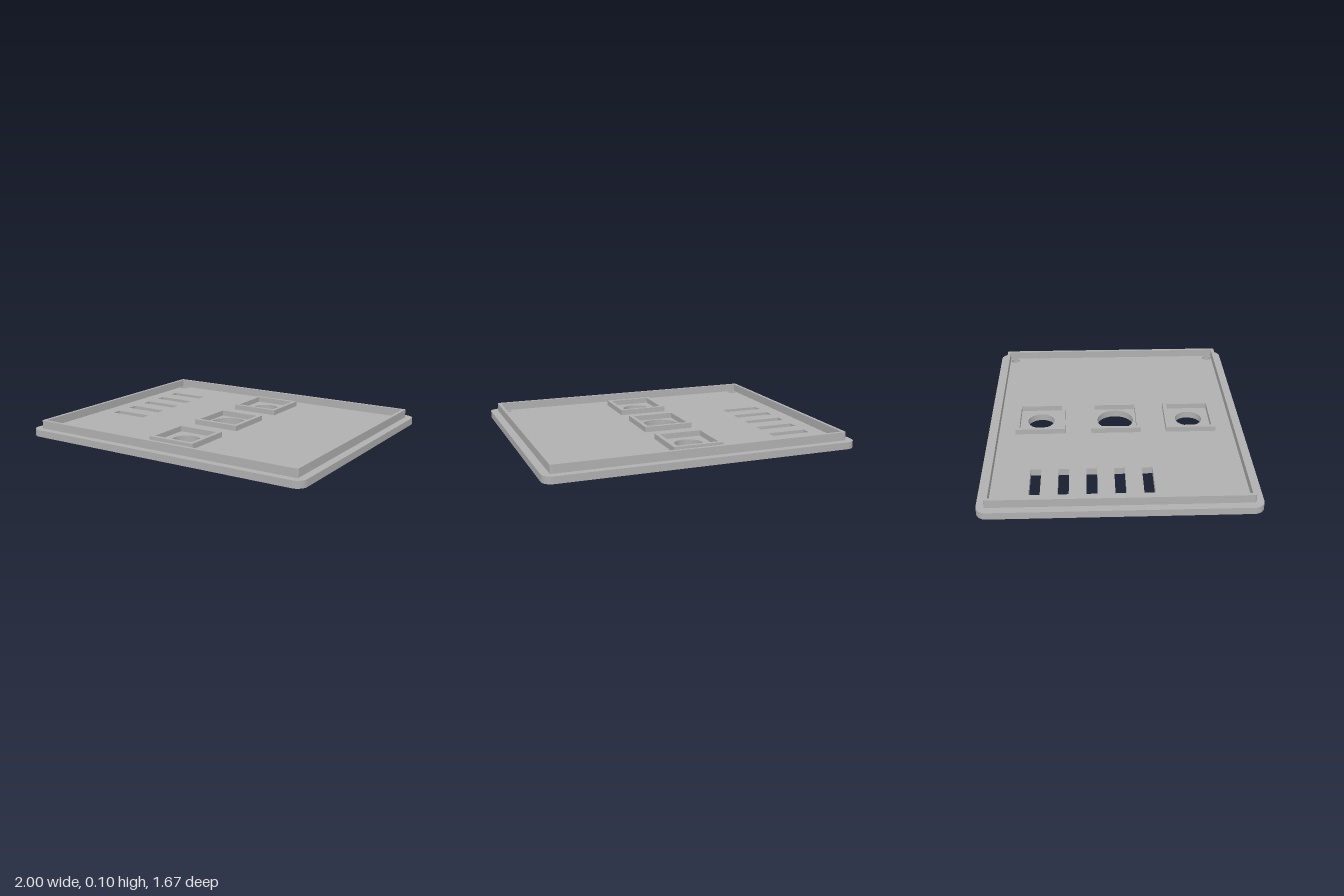
import * as THREE from 'three';
import { toCreasedNormals } from 'three/addons/utils/BufferGeometryUtils.js';

// Outlines are drawn in plan: x to the left, y of the shape = -z of the model.
function rect(path, x, z, halfW, halfD, r = 0) {
  const y = -z, x0 = x - halfW, x1 = x + halfW, y0 = y - halfD, y1 = y + halfD;
  if (r === 0) {
    path.moveTo(x0, y0).lineTo(x1, y0).lineTo(x1, y1).lineTo(x0, y1).closePath();
    return path;
  }
  path.moveTo(x0 + r, y0).lineTo(x1 - r, y0);
  path.absarc(x1 - r, y0 + r, r, -Math.PI / 2, 0, false);
  path.absarc(x1 - r, y1 - r, r, 0, Math.PI / 2, false);
  path.absarc(x0 + r, y1 - r, r, Math.PI / 2, Math.PI, false);
  path.absarc(x0 + r, y0 + r, r, Math.PI, Math.PI * 1.5, false);
  return path;
}

function circle(x, z, r) {
  return new THREE.Path().absarc(x, -z, r, 0, Math.PI * 2, true);
}

function slab(name, outline, holes, y, height, material) {
  outline.holes.push(...holes);
  let geometry = new THREE.ExtrudeGeometry(outline, { depth: height, bevelEnabled: false, curveSegments: 20 });
  geometry.rotateX(-Math.PI / 2);
  geometry = toCreasedNormals(geometry, 0.6);
  const mesh = new THREE.Mesh(geometry, material);
  mesh.name = name;
  mesh.position.y = y;
  return mesh;
}

export function createModel() {
  const group = new THREE.Group();
  group.name = 'panelCover';
  const grey = new THREE.MeshStandardMaterial({ color: 0xb0b0b0 });
  grey.name = 'grey plastic';

  const plateTop = 0.045, rimTop = 0.098, dimpleDepth = 0.02;
  const knobs = [[-0.497, 0.088], [0, 0.12], [0.493, 0.088]]; // z, radius

  // Openings through the whole plate
  const openings = () => {
    const list = knobs.map(([z, r]) => circle(0, z, r));
    for (const x of [-0.893, 0.893]) for (const z of [-0.732, 0.732]) list.push(circle(x, z, 0.032));
    for (let i = 0; i < 5; i++) list.push(rect(new THREE.Path(), -0.702, -0.506 + i * 0.171, 0.131, 0.033));
    return list;
  };
  const plateOutline = () => rect(new THREE.Shape(), 0, 0, 1, 0.837, 0.065);

  // Base plate: the lower layer also has small blind dimples in its underside
  const dimples = [[0.273, -0.497], [0.197, -0.497], [0.237, 0.49]].map(([x, z]) => circle(x, z, 0.018));
  group.add(slab('plateUnderside', plateOutline(), [...openings(), ...dimples], 0, dimpleDepth, grey));
  group.add(slab('plateFloor', plateOutline(), openings(), dimpleDepth, plateTop - dimpleDepth, grey));

  // Thin raised lip around the edge
  group.add(slab('rim', rect(new THREE.Shape(), 0, 0, 0.95, 0.79, 0.012),
    [rect(new THREE.Path(), 0, 0, 0.928, 0.768)], plateTop, rimTop - plateTop, grey));

  // Square collars around the round openings
  knobs.forEach(([z], i) => {
    group.add(slab('collar' + (i + 1), rect(new THREE.Shape(), 0, z, 0.163, 0.163),
      [rect(new THREE.Path(), 0, z, 0.137, 0.137)], plateTop, 0.035, grey));
  });

  return group;
}
